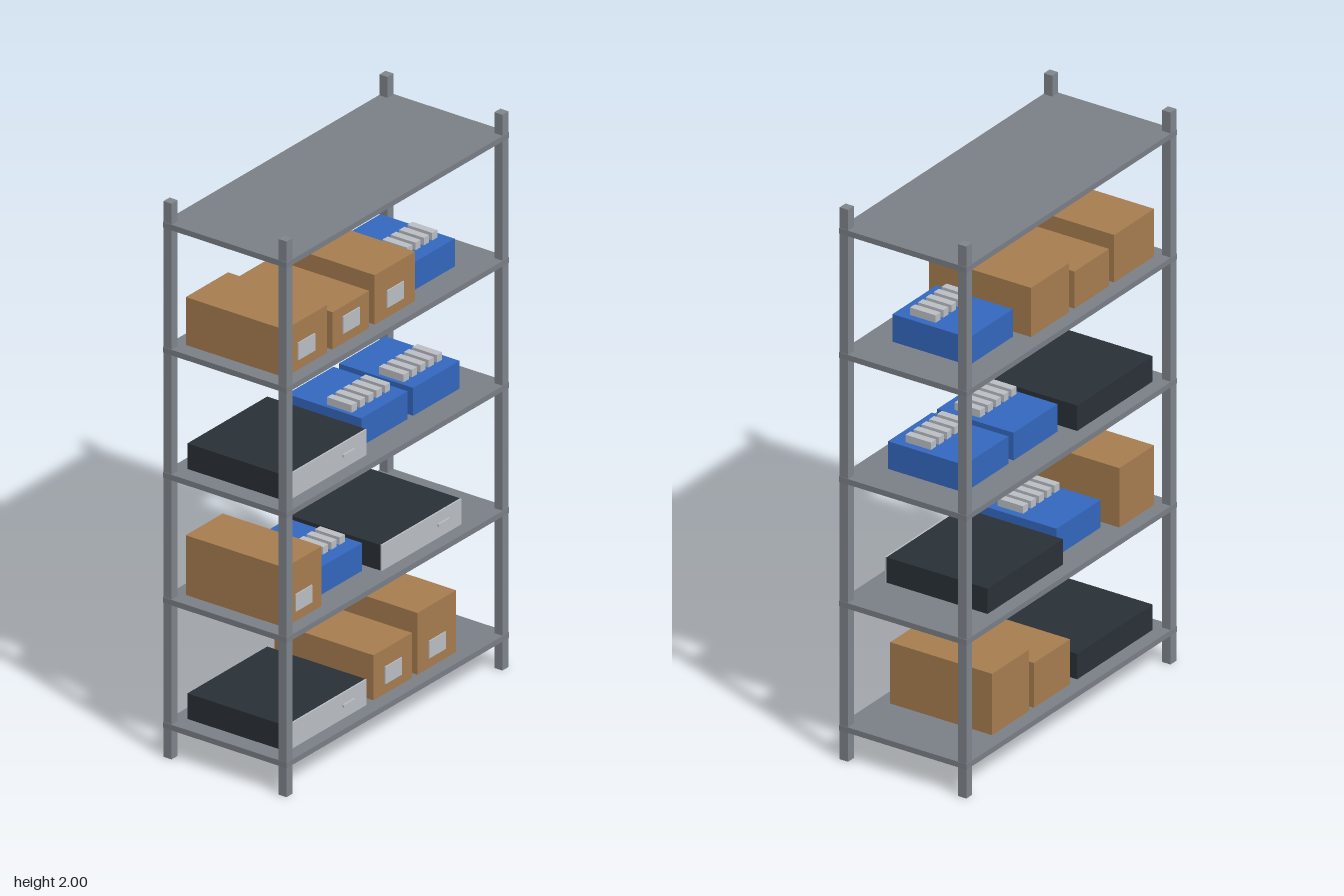
import * as THREE from 'three';

const flat = (name, color) => {
  const m = new THREE.MeshStandardMaterial({ color });
  m.name = name;
  return m;
};

export function createModel() {
  const postGrey = flat('post grey', 0x80868d);
  const shelfGrey = flat('shelf grey', 0x7b8087);
  const cardboard = flat('cardboard', 0xa87e50);
  const blue = flat('crate blue', 0x3468c0);
  const dark = flat('unit black', 0x2a3137);
  const light = flat('light grey', 0xbcc0c6);

  const rack = new THREE.Group();
  rack.name = 'storageRack';

  // Box given by its lower and upper corners
  function block(parent, name, mat, [x0, y0, z0], [x1, y1, z1]) {
    const mesh = new THREE.Mesh(new THREE.BoxGeometry(x1 - x0, y1 - y0, z1 - z0), mat);
    mesh.position.set((x0 + x1) / 2, (y0 + y1) / 2, (z0 + z1) / 2);
    mesh.name = name;
    parent.add(mesh);
  }

  function item(name) {
    const g = new THREE.Group();
    g.name = name;
    rack.add(g);
    return g;
  }

  // Carton with a label on the front
  function carton(x0, x1, y, h) {
    const g = item('carton'), cx = (x0 + x1) / 2;
    block(g, 'cartonBody', cardboard, [x0, y, -0.2], [x1, y + h, 0.2]);
    block(g, 'cartonLabel', light, [cx - 0.045, y + 0.036, 0.199], [cx + 0.045, y + 0.098, 0.204]);
  }

  // Blue crate with a row of five clips on top
  function crate(x0, y) {
    const g = item('crate');
    block(g, 'crateBody', blue, [x0, y, -0.15], [x0 + 0.25, y + 0.1, 0.15]);
    for (let i = 0; i < 5; i++) {
      const x = x0 + 0.015 + i * 0.045;
      block(g, 'crateClip', light, [x, y + 0.1, 0], [x + 0.028, y + 0.127, 0.1]);
    }
  }

  // Flat dark unit with a light front panel and a small handle
  function unit(x0, y) {
    const g = item('flatUnit'), x1 = x0 + 0.43;
    block(g, 'unitBody', dark, [x0, y, -0.2], [x1, y + 0.092, 0.196]);
    block(g, 'unitFrontPanel', light, [x0, y, 0.196], [x1, y + 0.092, 0.202]);
    block(g, 'unitHandle', light, [x1 - 0.13, y + 0.042, 0.202], [x1 - 0.07, y + 0.052, 0.208]);
  }

  // Corner posts
  for (const sx of [-1, 1]) for (const sz of [-1, 1]) {
    const x = sx * 0.582, z = sz * 0.232;
    block(rack, 'cornerPost', postGrey, [x - 0.0165, 0, z - 0.0165], [x + 0.0165, 2, z + 0.0165]);
  }

  // Shelves
  const tops = [0.125, 0.575, 1.025, 1.475, 1.925];
  for (const y of tops) block(rack, 'shelf', shelfGrey, [-0.6, y - 0.02, -0.25], [0.6, y, 0.25]);

  // Goods, from the bottom shelf up
  unit(-0.534, tops[0]);
  carton(-0.064, 0.143, tops[0], 0.162);
  carton(0.172, 0.381, tops[0], 0.222);

  carton(-0.543, -0.344, tops[1], 0.215);
  crate(-0.309, tops[1]);
  unit(-0.023, tops[1]);

  unit(-0.534, tops[2]);
  crate(-0.064, tops[2]);
  crate(0.216, tops[2]);

  carton(-0.543, -0.315, tops[3], 0.172);
  carton(-0.286, -0.088, tops[3], 0.134);
  carton(-0.058, 0.159, tops[3], 0.178);
  crate(0.19, tops[3]);

  return rack;
}
